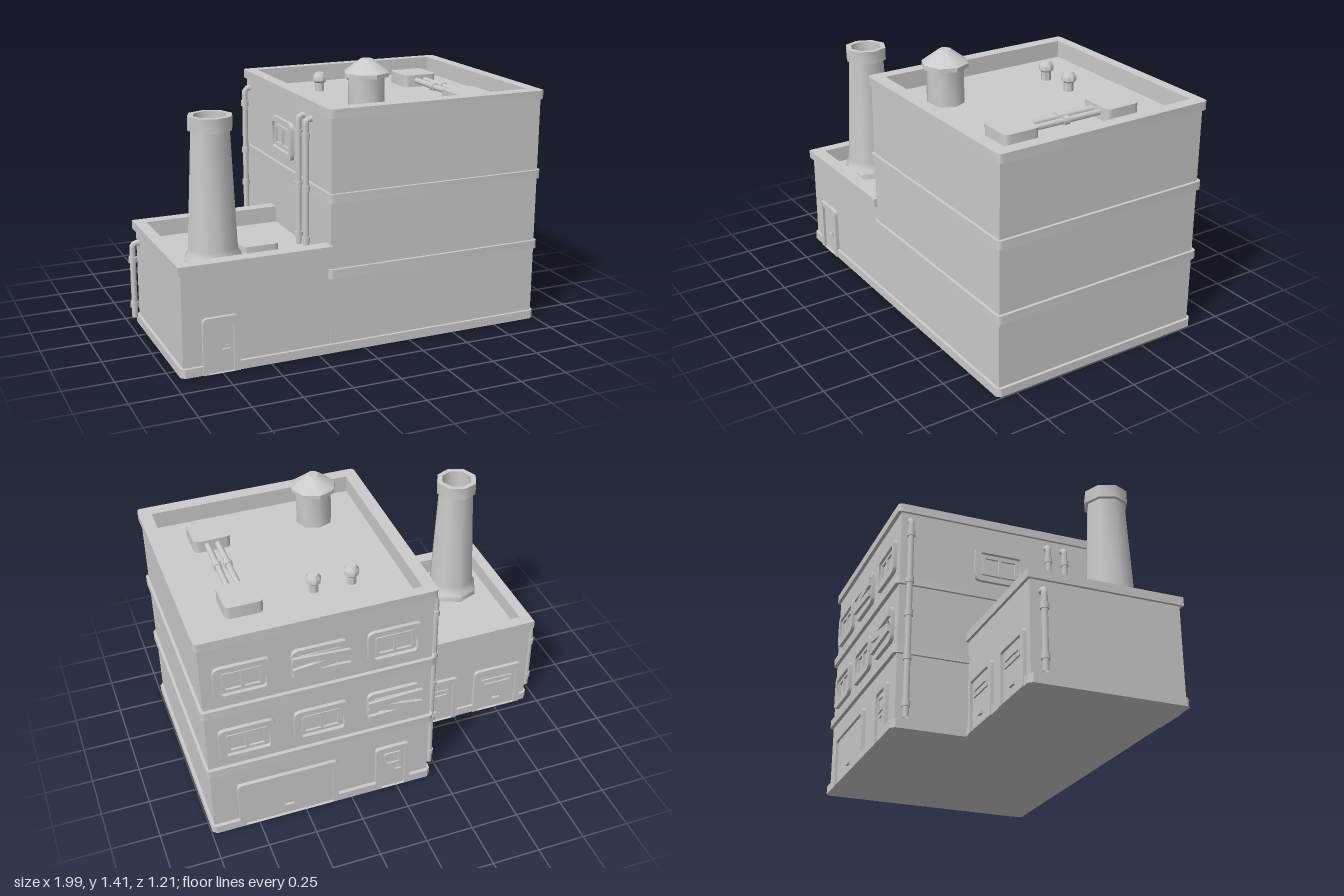
import * as THREE from 'three';
import { toCreasedNormals } from 'three/addons/utils/BufferGeometryUtils.js';

export function createModel() {
  const model = new THREE.Group();
  model.name = 'factory';
  const mat = new THREE.MeshStandardMaterial({ color: 0xcccccc });
  const openMat = new THREE.MeshStandardMaterial({ color: 0xcccccc, side: THREE.DoubleSide });

  const add = (parent, name, geo, x = 0, y = 0, z = 0, m = mat) => {
    const mesh = new THREE.Mesh(geo, m);
    mesh.name = name;
    mesh.position.set(x, y, z);
    parent.add(mesh);
    return mesh;
  };
  const group = (name, x, y, z, ry = 0) => {
    const g = new THREE.Group();
    g.name = name;
    g.position.set(x, y, z);
    g.rotation.y = ry;
    model.add(g);
    return g;
  };
  const box = (parent, name, w, h, d, x, y, z) => add(parent, name, new THREE.BoxGeometry(w, h, d), x, y, z);

  // Rectangle path with separate bottom and top corner radii
  const rounded = (x0, y0, x1, y1, r, rb = r, Type = THREE.Shape) => {
    const s = new Type();
    s.moveTo(x0 + rb, y0);
    s.lineTo(x1 - rb, y0);
    if (rb) s.quadraticCurveTo(x1, y0, x1, y0 + rb);
    s.lineTo(x1, y1 - r);
    if (r) s.quadraticCurveTo(x1, y1, x1 - r, y1);
    s.lineTo(x0 + r, y1);
    if (r) s.quadraticCurveTo(x0, y1, x0, y1 - r);
    s.lineTo(x0, y0 + rb);
    if (rb) s.quadraticCurveTo(x0, y0, x0 + rb, y0);
    return s;
  };
  const extrude = (shape, depth) =>
    toCreasedNormals(new THREE.ExtrudeGeometry(shape, { depth, bevelEnabled: false, curveSegments: 4 }), 0.6);
  // Plan shape (drawn in x, -z) raised from y0 to y1
  const slab = (name, shape, y0, y1) => add(model, name, extrude(shape, y1 - y0).rotateX(-Math.PI / 2), 0, y0, 0);
  const plan = (pts) => new THREE.Shape(pts.map(([x, z]) => new THREE.Vector2(x, -z)));

  // Main block: walls, floor bands and hollow parapet
  const wall = () => rounded(-0.18, -0.585, 0.98, 0.565, 0);
  const band = () => rounded(-0.195, -0.6, 0.995, 0.585, 0.025);
  const ring = (s) => {
    s.holes.push(rounded(-0.13, -0.53, 0.93, 0.53, 0, 0, THREE.Path));
    return s;
  };
  slab('mainWalls', wall(), 0, 1.14);
  slab('parapetWall', ring(wall()), 1.14, 1.185);
  slab('parapetCoping', ring(band()), 1.185, 1.23);
  slab('lowerBand', band(), 0.39, 0.435);
  slab('upperBand', band(), 0.77, 0.815);

  // Side wing with a parapet on its three free sides
  const uShape = (x, z0, z1) => plan([[x, z1], [x, z0], [-0.175, z0], [-0.175, -0.14],
    [-0.895, -0.14], [-0.895, 0.53], [-0.175, 0.53], [-0.175, z1]]);
  slab('wingWalls', rounded(-0.94, -0.584, -0.15, 0.19, 0), 0, 0.47);
  slab('wingParapetWall', uShape(-0.94, -0.19, 0.584), 0.47, 0.51);
  slab('wingCoping', uShape(-0.955, -0.205, 0.6), 0.51, 0.555);

  // Base course, notched where the doors stand
  const notch = (a, b, outer, inner) => [[a, outer], [a, inner], [b, inner], [b, outer]];
  slab('baseCourse', plan([
    [-0.935, 0.6], ...notch(-0.845, -0.66, 0.6, 0.57), [0.975, 0.6], [0.995, 0.58],
    [0.995, -0.565], [0.975, -0.585], ...notch(0.85, 0.32, -0.585, -0.555),
    ...notch(0.115, -0.075, -0.585, -0.555), [-0.175, -0.585], [-0.195, -0.565], [-0.195, -0.205],
    ...notch(-0.23, -0.515, -0.205, -0.18), ...notch(-0.615, -0.9, -0.205, -0.18),
    [-0.935, -0.205], [-0.955, -0.185], [-0.955, 0.58],
  ]), 0, 0.045);

  // Doors: local +z points out of the wall
  const door = (name, x, z, ry, w, kind) => {
    const g = group(name, x, 0, z, ry);
    const h = w / 2, t = 0.03;
    const frame = rounded(-h, 0, h, 0.285, 0.025, 0);
    frame.holes.push(rounded(-h + t, 0.001, h - t, 0.26, 0.012, 0, THREE.Path));
    add(g, 'doorFrame', extrude(frame, 0.02));
    box(g, 'doorPanel', w - 2 * t, 0.26, 0.008, 0, 0.13, 0.002);
    if (kind === 'garage') {
      box(g, 'pullHandle', 0.045, 0.014, 0.014, 0, 0.06, 0.012);
    } else {
      box(g, 'latchPlate', 0.014, 0.04, 0.008, 0.03, 0.115, 0.008);
      box(g, 'latchLever', 0.035, 0.01, 0.01, 0.025, 0.118, 0.018);
    }
    return g;
  };
  const slot = (g, w, h, y) => {
    const s = rounded(-w / 2, -h / 2, w / 2, h / 2, 0.006);
    s.holes.push(rounded(-w / 2 + 0.012, -h / 2 + 0.012, w / 2 - 0.012, h / 2 - 0.012, 0, 0, THREE.Path));
    add(g, 'doorWindow', extrude(s, 0.01), 0, y, 0.005);
  };
  door('frontDoor', -0.7525, 0.585, 0, 0.185, 'person');
  slot(door('backDoor', 0.02, -0.565, Math.PI, 0.19, 'person'), 0.09, 0.08, 0.195);
  door('loadingDoor', 0.585, -0.565, Math.PI, 0.53, 'garage');
  for (const x of [-0.3725, -0.7575]) {
    slot(door('wingGarageDoor', x, -0.19, Math.PI, 0.285, 'garage'), 0.18, 0.045, 0.19);
  }

  // Windows: rounded surround, inner two-pane sash, optional boards
  const windowUnit = (x, y, z, ry, boards = []) => {
    const g = group('window', x, y, z, ry);
    const surround = rounded(-0.1425, -0.0975, 0.1425, 0.0975, 0.035);
    surround.holes.push(rounded(-0.112, -0.068, 0.112, 0.068, 0.015, 0.015, THREE.Path));
    add(g, 'windowSurround', extrude(surround, 0.02));
    const sash = rounded(-0.1, -0.056, 0.1, 0.056, 0.006);
    for (const s of [-1, 1]) {
      const a = s < 0 ? -0.084 : 0.008;
      sash.holes.push(rounded(a, -0.04, a + 0.076, 0.04, 0, 0, THREE.Path));
    }
    add(g, 'windowSash', extrude(sash, 0.012));
    boards.forEach(([by, tilt]) => {
      box(g, 'board', 0.285, 0.036, 0.016, 0, by, 0.029).rotation.z = tilt;
    });
  };
  for (const [row, y] of [0.5775, 0.9625].entries()) {
    [0.78, 0.4, 0.02].forEach((x, i) => {
      const boards = row === 1 && i === 1 ? [[0.04, -0.06], [0, 0.12], [-0.04, -0.05]]
        : row === 0 && i === 2 ? [[0.045, 0.04], [0, -0.17], [-0.04, 0.05]] : [];
      windowUnit(x, y, -0.565, Math.PI, boards);
    });
  }
  windowUnit(-0.18, 0.9625, -0.02, -Math.PI / 2);

  // Downpipes with an elbow into the wall and collars
  const downpipe = (x, z, y0, y1, collars) => {
    const g = group('downpipe', x, 0, z);
    const path = new THREE.CurvePath();
    const v = (a, b) => new THREE.Vector3(a, b, 0);
    path.add(new THREE.LineCurve3(v(0, y0), v(0, y1 - 0.025)));
    path.add(new THREE.QuadraticBezierCurve3(v(0, y1 - 0.025), v(0, y1), v(0.025, y1)));
    path.add(new THREE.LineCurve3(v(0.025, y1), v(0.05, y1)));
    add(g, 'pipe', new THREE.TubeGeometry(path, 60, 0.016, 8), 0, 0, 0, openMat);
    collars.forEach((y) => add(g, 'collar', new THREE.CylinderGeometry(0.022, 0.022, 0.03, 8), 0, y, 0));
  };
  downpipe(-0.21, 0.25, 0.47, 1.135, [0.52, 0.785, 1.05]);
  downpipe(-0.21, 0.345, 0.47, 1.135, [0.52, 0.785, 1.05]);
  downpipe(-0.21, -0.52, 0.05, 1.135, [0.12, 0.365, 0.6, 0.785, 1.05]);
  downpipe(-0.977, -0.135, 0.05, 0.452, [0.12, 0.365]);

  // Eight-sided turned parts
  const turned = (name, pts, x, y, z, crease = 0.7) => add(model, name, toCreasedNormals(
    new THREE.LatheGeometry(pts.map(([r, h]) => new THREE.Vector2(r, h)), 8), crease), x, y, z, openMat);
  turned('chimney', [[0.147, 0], [0.147, 0.03], [0.13, 0.055], [0.127, 0.085], [0.098, 0.66], [0.112, 0.662],
    [0.112, 0.73], [0.083, 0.73], [0.08, 0.5], [0, 0.5]], -0.7, 0.47, 0.345, 0.9);
  turned('waterTank', [[0.095, 0], [0.095, 0.19]], 0.12, 1.14, 0.335, 0.9);
  turned('tankLid', [[0, 0], [0.117, 0], [0.117, 0.02], [0.03, 0.085], [0, 0.085]], 0.12, 1.325, 0.335, 0.5);
  for (const x of [0.13, 0.325]) {
    turned('roofVent', [[0.026, 0], [0.026, 0.045], [0.038, 0.055], [0.038, 0.08], [0.024, 0.1], [0, 0.1]],
      x, 1.14, -0.265);
  }

  // Roof units and the pair of pipes joining them
  const unit = (name, x, z, y0, y1) =>
    slab(name, rounded(x - 0.095, -z - 0.095, x + 0.095, -z + 0.095, 0.03), y0, y1);
  unit('roofUnit', 0.69, -0.2475, 1.14, 1.205);
  unit('roofUnit', 0.69, 0.33, 1.14, 1.205);
  unit('wingRoofUnit', -0.465, 0.295, 0.47, 0.535);
  for (const x of [0.663, 0.717]) {
    const pipe = (name, r, len, z) =>
      add(model, name, new THREE.CylinderGeometry(r, r, len, 8).rotateX(Math.PI / 2), x, 1.175, z);
    pipe('roofPipe', 0.016, 0.42, 0.04);
    pipe('roofPipeCollar', 0.023, 0.03, 0.045);
  }
  return model;
}
